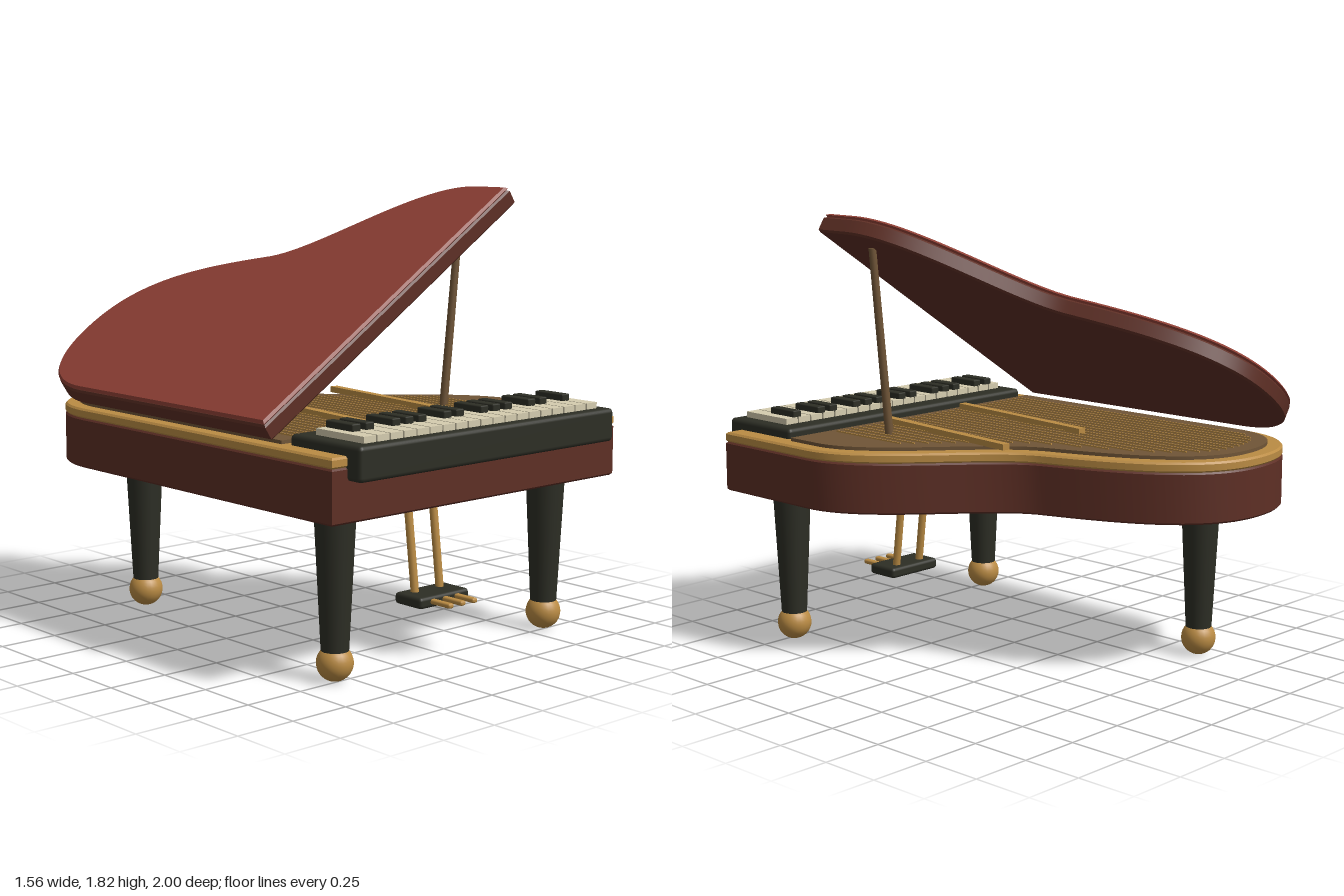
import * as THREE from 'three';
import { toCreasedNormals } from 'three/addons/utils/BufferGeometryUtils.js';
import { RoundedBoxGeometry } from 'three/addons/geometries/RoundedBoxGeometry.js';

const mat = (name, color) => {
  const m = new THREE.MeshStandardMaterial({ color });
  m.name = name;
  return m;
};

// Open curved side of the case, from front left round the tail to front right, as (x, -z)
function sidePoints(front, inset = 0) {
  const V = (x, z) => new THREE.Vector2(x, -z);
  const path = new THREE.Path();
  path.moveTo(-0.755, -front);
  path.lineTo(-0.755, 0.62);
  path.bezierCurveTo(-0.755, 0.86, -0.6, 1, -0.345, 1);
  path.bezierCurveTo(0, 1, 0.12, 0.65, 0.22, 0.34);
  path.bezierCurveTo(0.31, 0.1, 0.785, -0.08, 0.785, -0.42);
  path.lineTo(0.785, -front);
  const pts = path.getPoints(24);
  return pts.map((p, i) => {
    const a = pts[Math.max(i - 1, 0)], b = pts[Math.min(i + 1, pts.length - 1)];
    const d = b.clone().sub(a).normalize();
    return V(p.x + d.y * inset, -(p.y - d.x * inset));
  });
}

// Horizontal slab with the case outline, between two heights
function slab(front, inset, y0, y1, bevel) {
  const geo = new THREE.ExtrudeGeometry(new THREE.Shape(sidePoints(front, inset)), {
    depth: y1 - y0 - 2 * bevel, bevelEnabled: bevel > 0, bevelThickness: bevel,
    bevelSize: bevel, bevelOffset: -bevel, bevelSegments: 1,
  });
  geo.rotateX(-Math.PI / 2).translate(0, y0 + bevel, 0);
  return toCreasedNormals(geo, 0.6);
}

export function createModel() {
  const red = mat('red lacquer', 0x8e4035);
  const wood = mat('dark mahogany', 0x5e2f25);
  const gold = mat('brass', 0xbb8c44);
  const brown = mat('soundboard brown', 0x705537);
  const black = mat('ebony', 0x2d2e25);
  const ivory = mat('ivory', 0xd6cdb0);

  const piano = new THREE.Group();
  piano.name = 'grandPiano';

  const add = (name, geo, material, x = 0, y = 0, z = 0, parent = piano) => {
    const m = new THREE.Mesh(geo, material);
    m.name = name;
    m.position.set(x, y, z);
    parent.add(m);
    return m;
  };
  const group = (name, parent = piano) => {
    const g = new THREE.Group();
    g.name = name;
    parent.add(g);
    return g;
  };
  // Round bar between two points
  const rod = (name, a, b, r0, r1, material, parent = piano) => {
    const A = new THREE.Vector3(...a), B = new THREE.Vector3(...b);
    const dir = B.clone().sub(A);
    const m = add(name, new THREE.CylinderGeometry(r1, r0, dir.length(), 12), material, 0, 0, 0, parent);
    m.position.copy(A).add(B).multiplyScalar(0.5);
    m.quaternion.setFromUnitVectors(new THREE.Vector3(0, 1, 0), dir.normalize());
    return m;
  };

  // Case, brass rim and soundboard
  add('case', slab(0.93, 0, 0.65, 0.86, 0.008), wood);
  add('rim', slab(0.93, 0, 0.858, 0.9, 0.008), gold);
  add('soundboard', slab(0.58, 0.062, 0.895, 0.914, 0), brown);

  // Strings, each ending short of the curved side
  const strings = group('strings');
  const edge = sidePoints(0.58, 0.13);
  const backAt = (x) => {
    let y = -0.5;
    for (let i = 1; i < edge.length; i++) {
      const a = edge[i - 1], b = edge[i];
      if ((a.x - x) * (b.x - x) <= 0 && a.x !== b.x) {
        y = Math.max(y, a.y + ((b.y - a.y) * (x - a.x)) / (b.x - a.x));
      }
    }
    return -y;
  };
  for (let i = 0; i < 28; i++) {
    const x = -0.6 + i * 0.041;
    const back = backAt(x), len = 0.54 - back;
    add('string', new THREE.BoxGeometry(0.005, 0.006, len), gold, x, 0.917, back + len / 2, strings);
  }

  // Frame braces over the strings
  for (const x of [-0.2, 0.255]) {
    const brace = add('frameBrace', new THREE.BoxGeometry(0.035, 0.025, 0.79), gold, x, 0.926, 0.155);
    brace.rotation.y = -0.11;
  }

  // Raised lid, hinged along the left side
  const lid = group('lid');
  lid.position.set(-0.738, 0.917, 0);
  lid.rotation.z = THREE.MathUtils.degToRad(32.8);
  add('lidBoard', slab(0.58, 0, 0, 0.07, 0.008), wood, 0.755, 0, 0, lid);
  add('lidTop', slab(0.58, 0.003, 0.068, 0.088, 0.01), red, 0.755, 0, 0, lid);
  rod('lidProp', [0.385, 0.91, 0.35], [0.455, 1.69, 0.363], 0.018, 0.016, brown);

  // Keyboard: 19 white keys with the usual groups of two and three black keys
  const keyboard = group('keyboard');
  add('keyBlock', new RoundedBoxGeometry(1.385, 0.135, 0.39, 2, 0.018), black, 0.0125, 0.875, 0.805, keyboard);
  const pitch = 1.28 / 19, left = -0.627;
  const whiteGeo = new THREE.BoxGeometry(pitch - 0.007, 0.035, 0.262);
  const blackGeo = new RoundedBoxGeometry(0.042, 0.035, 0.15, 1, 0.005);
  for (let i = 0; i < 19; i++) {
    add('whiteKey', whiteGeo, ivory, left + (i + 0.5) * pitch, 0.95, 0.824, keyboard);
    if ([1, 2, 4, 5, 6].includes(i % 7)) {
      add('blackKey', blackGeo, black, left + i * pitch, 0.977, 0.773, keyboard);
    }
  }

  // Three tapered legs on brass balls
  const legGeo = new THREE.CylinderGeometry(0.081, 0.054, 0.54, 24);
  const ballGeo = new THREE.SphereGeometry(0.072, 24, 16);
  for (const [x, z] of [[-0.565, 0.735], [0.595, 0.735], [-0.415, -0.665]]) {
    const leg = group('leg');
    leg.position.set(x, 0, z);
    add('legPost', legGeo, black, 0, 0.39, 0, leg);
    add('legBall', ballGeo, gold, 0, 0.072, 0, leg);
  }

  // Pedal lyre
  const lyre = group('pedalLyre');
  for (const x of [-0.055, 0.083]) {
    rod('lyreRod', [x, 0.22, 0.642], [x, 0.66, 0.588], 0.017, 0.017, gold, lyre);
  }
  add('pedalBox', new RoundedBoxGeometry(0.27, 0.046, 0.15, 2, 0.014), black, 0.015, 0.22, 0.665, lyre);
  for (const x of [-0.052, 0.014, 0.08]) {
    add('pedal', new RoundedBoxGeometry(0.028, 0.02, 0.15, 2, 0.008), gold, x, 0.222, 0.768, lyre);
  }

  return piano;
}
